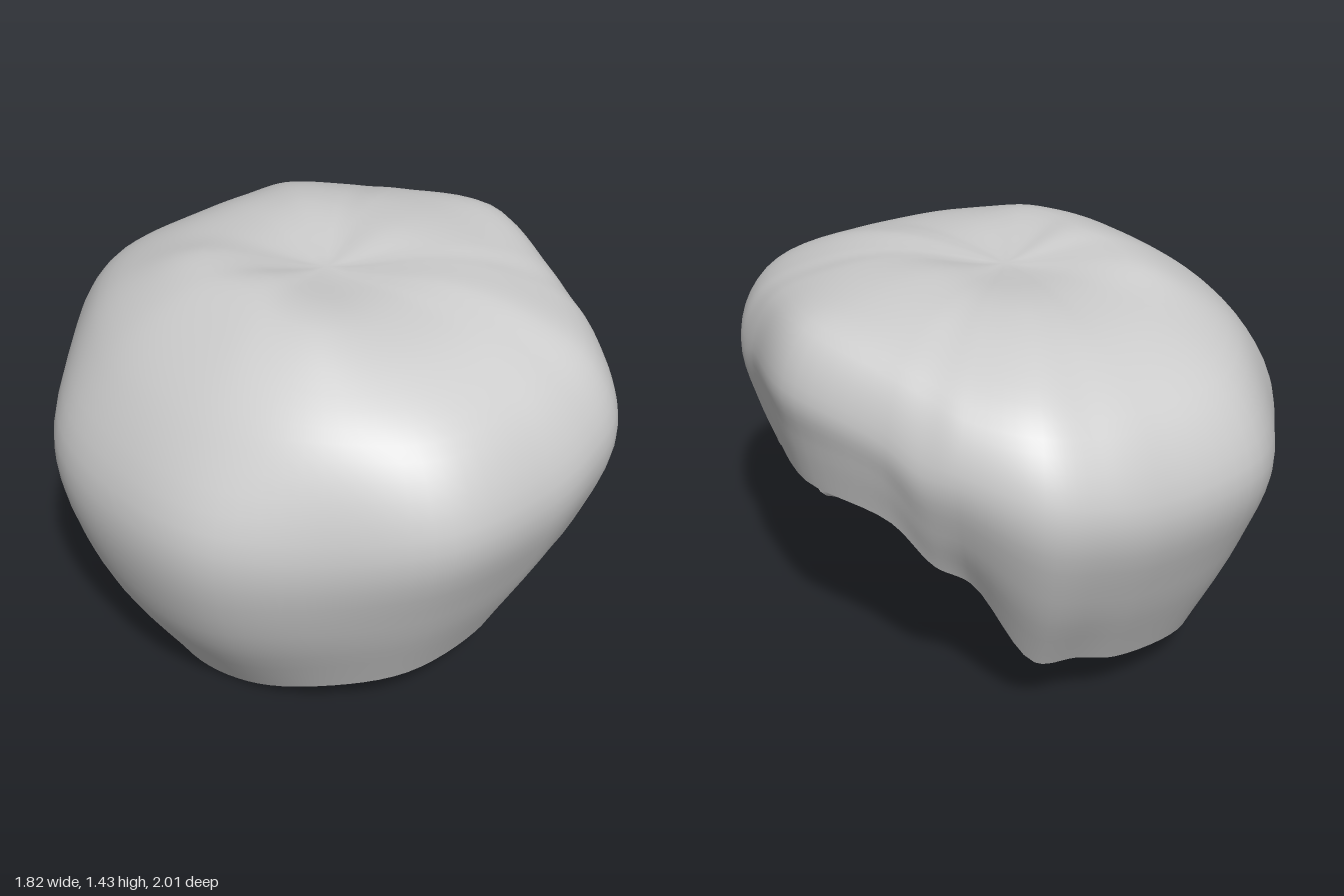
import * as THREE from 'three';

// Half of the shape: [angle from +x in degrees, then radius, height pairs from crown to rim]
const PROFILES = [
  [0, .32, 1.425, .60, 1.40, .81, 1.35, .905, 1.17, .88, 1.00, .84, .81],
  [26, .36, 1.415, .59, 1.39, .80, 1.30, .885, 1.12, .87, .97, .83, .795],
  [36, .38, 1.41, .61, 1.375, .83, 1.27, .93, 1.06, .89, .85, .82, .66],
  [44, .40, 1.41, .65, 1.365, .88, 1.24, .965, 1.05, .91, .82, .80, .60],
  [59, .43, 1.41, .71, 1.35, .94, 1.21, 1.045, .98, .96, .65, .77, .27],
  [70, .40, 1.40, .68, 1.34, .92, 1.18, 1.03, .94, .93, .60, .745, .25],
  [82, .36, 1.39, .66, 1.33, .895, 1.165, 1.005, .90, .905, .56, .735, .205],
  [106, .36, 1.39, .64, 1.325, .89, 1.165, 1.01, .90, .905, .55, .73, .17],
  [130, .40, 1.41, .62, 1.325, .81, 1.17, .925, .85, .85, .50, .67, .11],
  [155, .34, 1.42, .55, 1.34, .77, 1.15, .935, .84, .86, .45, .61, .025],
  [180, .28, 1.43, .47, 1.37, .74, 1.155, .91, .82, .84, .42, .60, 0],
];
const RINGS = 6, COLS = 120, ROWS = 30, THICKNESS = 0.05;

// Skin joining closed rows of points; a pole collapses the first row to one vertex
function skin(rows, pole, flip) {
  const n = rows[0].length, index = [];
  const id = (i, j) => (pole && i === 0 ? 0 : i * n + (j % n));
  for (let i = 0; i < rows.length - 1; i++) {
    for (let j = 0; j < n; j++) {
      const a = id(i, j), b = id(i, j + 1), c = id(i + 1, j), d = id(i + 1, j + 1);
      if (a !== b) index.push(...(flip ? [a, c, b] : [a, b, c]));
      index.push(...(flip ? [b, c, d] : [b, d, c]));
    }
  }
  const geo = new THREE.BufferGeometry().setFromPoints(rows.flat());
  geo.setIndex(index);
  geo.computeVertexNormals();
  return geo;
}

export function createModel() {
  const group = new THREE.Group();
  group.name = 'hairShell';
  const grey = new THREE.MeshStandardMaterial({ color: 0xcccccc });
  grey.name = 'light grey';

  // Mirror the half profiles across z
  const around = [
    ...PROFILES.map((p) => [p, 1]),
    ...PROFILES.slice(1, -1).reverse().map((p) => [p, -1]),
  ];

  // Smooth closed ring at each level
  const rings = [];
  for (let k = 0; k < RINGS; k++) {
    const pts = around.map(([p, side]) => {
      const t = THREE.MathUtils.degToRad(p[0]), r = p[1 + 2 * k];
      return new THREE.Vector3(r * Math.cos(t), p[2 + 2 * k], side * r * Math.sin(t));
    });
    const curve = new THREE.CatmullRomCurve3(pts, true);
    rings.push(Array.from({ length: COLS }, (_, j) => curve.getPoint(j / COLS)));
  }

  // Smooth meridians from the dipped crown to the rim, each led in from the far side
  const crown = new THREE.Vector3(0.03, 1.375, 0);
  const meridians = Array.from({ length: COLS }, (_, j) => {
    const far = rings[0][(j + COLS / 2) % COLS];
    const curve = new THREE.CatmullRomCurve3([far, crown, ...rings.map((r) => r[j])]);
    const start = 1 / (RINGS + 1);
    return Array.from({ length: ROWS + 1 }, (_, i) => curve.getPoint(start + (1 - start) * i / ROWS));
  });
  const outer = Array.from({ length: ROWS + 1 }, (_, i) => meridians.map((m) => m[i]));
  const outerGeo = skin(outer, true, false);

  // Lining offset inward along the normals
  const normals = outerGeo.attributes.normal;
  const inner = outer.map((row, i) => row.map((p, j) => {
    const n = new THREE.Vector3().fromBufferAttribute(normals, i === 0 ? 0 : i * COLS + j);
    return p.clone().addScaledVector(n, -THICKNESS);
  }));
  // Keep the lining edge level with the outer edge
  inner[ROWS].forEach((p, j) => { p.y = outer[ROWS][j].y; });

  const add = (name, geo) => {
    const mesh = new THREE.Mesh(geo, grey);
    mesh.name = name;
    group.add(mesh);
  };
  add('outerHair', outerGeo);
  add('innerLining', skin(inner, true, true));
  add('rim', skin([outer[ROWS], inner[ROWS]], false, false));
  return group;
}
